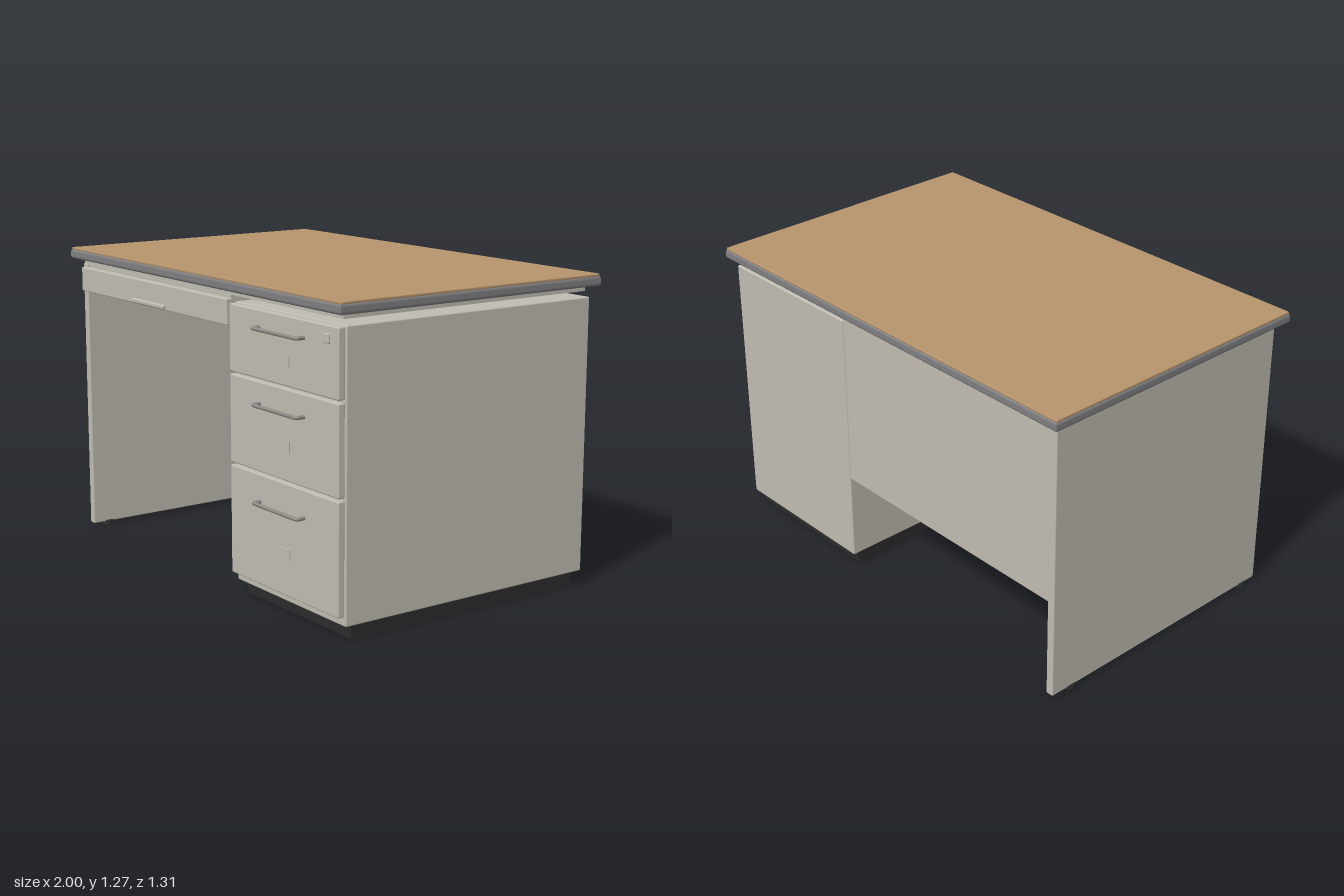
import * as THREE from 'three';
import { RoundedBoxGeometry } from 'three/addons/geometries/RoundedBoxGeometry.js';

function material(name, color) {
  const m = new THREE.MeshStandardMaterial({ color });
  m.name = name;
  return m;
}

export function createModel() {
  const body = material('warm grey paint', 0xc0bcb2);
  const wood = material('wood laminate', 0xb5946c);
  const edge = material('grey edging', 0x808083);
  const metal = material('handle metal', 0x8c8b86);
  const black = material('black plastic', 0x2b2b2b);

  const desk = new THREE.Group();
  desk.name = 'desk';

  function add(name, geometry, mat, parent = desk) {
    const mesh = new THREE.Mesh(geometry, mat);
    mesh.name = name;
    parent.add(mesh);
    return mesh;
  }

  // Box given by its limits, with optional softened edges
  function box(name, mat, [x0, x1], [y0, y1], [z0, z1], r = 0, parent = desk) {
    const w = x1 - x0, h = y1 - y0, d = z1 - z0;
    const g = r ? new RoundedBoxGeometry(w, h, d, 2, r) : new THREE.BoxGeometry(w, h, d);
    const mesh = add(name, g, mat, parent);
    mesh.position.set((x0 + x1) / 2, (y0 + y1) / 2, (z0 + z1) / 2);
    return mesh;
  }

  // Table top: laminate sheet, core board and rounded edging
  const top = new THREE.Group();
  top.name = 'tableTop';
  desk.add(top);
  box('laminateSheet', wood, [-0.997, 0.997], [1.258, 1.27], [-0.655, 0.612], 0.004, top);
  box('coreBoard', wood, [-0.97, 0.97], [1.222, 1.258], [-0.63, 0.588], 0, top);

  const bevel = 0.012;
  const rectangle = (path, x, za, zb) => {
    path.moveTo(-x, -zb).lineTo(x, -zb).lineTo(x, -za).lineTo(-x, -za).closePath();
    return path;
  };
  const rim = rectangle(new THREE.Shape(), 1 - bevel, -0.658 + bevel, 0.616 - bevel);
  rim.holes.push(rectangle(new THREE.Path(), 0.965, -0.625, 0.583));
  const rimGeometry = new THREE.ExtrudeGeometry(rim, {
    depth: 0.042 - 2 * bevel, bevelEnabled: true, bevelSize: bevel,
    bevelThickness: bevel, bevelSegments: 4,
  });
  rimGeometry.rotateX(-Math.PI / 2).translate(0, 1.22 + bevel, 0);
  add('edging', rimGeometry, edge, top);

  // Under-frame, end panel and modesty panel
  box('underFrame', body, [-0.95, 0.96], [1.2, 1.224], [-0.612, 0.575]);
  box('endPanel', body, [-0.96, -0.925], [0.012, 1.2], [-0.615, 0.577], 0.005);
  box('modestyPanel', body, [-0.926, 0.266], [0.44, 1.2], [-0.612, -0.585], 0.004);
  for (const z of [-0.51, 0.5]) {
    const foot = add('foot', new THREE.CylinderGeometry(0.026, 0.028, 0.018, 20), black);
    foot.position.set(-0.943, 0.009, z);
  }

  // Pedestal cabinet on a recessed plinth
  box('cabinet', body, [0.265, 0.985], [0.057, 1.18], [-0.615, 0.578], 0.006);
  box('plinth', black, [0.28, 0.967], [0, 0.06], [-0.58, 0.54]);

  // Bow handle shared by the pedestal drawers
  const bow = new THREE.CurvePath();
  const v = (x, z) => new THREE.Vector3(x, 0, z);
  bow.add(new THREE.LineCurve3(v(-0.145, 0), v(-0.145, 0.024)));
  bow.add(new THREE.QuadraticBezierCurve3(v(-0.145, 0.024), v(-0.145, 0.038), v(-0.13, 0.038)));
  bow.add(new THREE.LineCurve3(v(-0.13, 0.038), v(0.13, 0.038)));
  bow.add(new THREE.QuadraticBezierCurve3(v(0.13, 0.038), v(0.145, 0.038), v(0.145, 0.024)));
  bow.add(new THREE.LineCurve3(v(0.145, 0.024), v(0.145, 0)));
  const bowGeometry = new THREE.TubeGeometry(bow, 64, 0.008, 10, false);

  // Drawers: bottom, top, handle height, label height
  const drawers = [
    [0.095, 0.537, 0.43, 0.24],
    [0.547, 0.9, 0.815, 0.66],
    [0.91, 1.176, 1.11, 0.985],
  ];
  for (const [y0, y1, handleY, labelY] of drawers) {
    const drawer = new THREE.Group();
    drawer.name = 'pedestalDrawer';
    desk.add(drawer);
    box('drawerFront', body, [0.27, 0.98], [y0, y1], [0.579, 0.61], 0.006, drawer);
    add('handle', bowGeometry, metal, drawer).position.set(0.623, handleY, 0.608);
    box('labelPlate', body, [0.57, 0.677], [labelY, labelY + 0.045], [0.609, 0.614], 0, drawer);
  }
  box('lock', body, [0.893, 0.929], [1.11, 1.147], [0.606, 0.618], 0.004);

  // Wide shallow drawer over the knee space
  const pencil = new THREE.Group();
  pencil.name = 'kneeDrawer';
  desk.add(pencil);
  box('kneeDrawerFront', body, [-0.916, 0.252], [1.085, 1.19], [0.579, 0.61], 0.005, pencil);
  box('kneeDrawerBody', body, [-0.9, 0.24], [1.095, 1.2], [-0.1, 0.58], 0, pencil);
  box('kneeDrawerPull', body, [-0.462, -0.206], [1.09, 1.109], [0.606, 0.624], 0.006, pencil);

  return desk;
}
